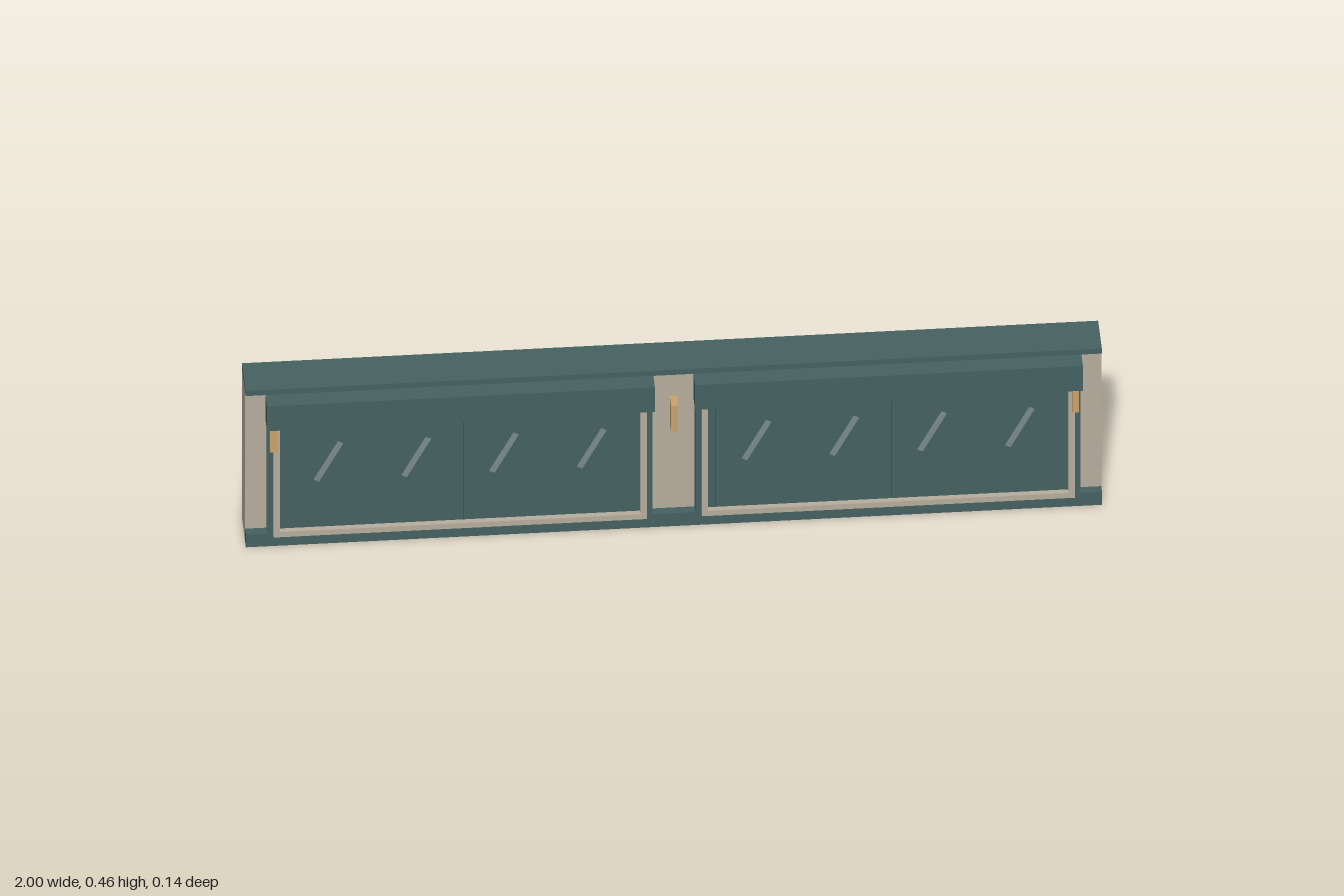
import * as THREE from 'three';

export function createModel() {
  const model = new THREE.Group();
  model.name = 'shopfront';

  const mat = (name, color) => {
    const m = new THREE.MeshStandardMaterial({ color });
    m.name = name;
    return m;
  };
  const stone = mat('warm stone', 0xb8ae9f);
  const teal = mat('dark teal', 0x466262);
  const brass = mat('brass', 0xc9a36b);
  const glint = mat('glass glint', 0x7b8b8a);

  // Box given by its extents on each axis
  const box = (parent, name, material, [x0, x1], [y0, y1], [z0, z1]) => {
    const mesh = new THREE.Mesh(new THREE.BoxGeometry(x1 - x0, y1 - y0, z1 - z0), material);
    mesh.position.set((x0 + x1) / 2, (y0 + y1) / 2, (z0 + z1) / 2);
    mesh.name = name;
    parent.add(mesh);
    return mesh;
  };

  // Wall, cornice and plinth
  box(model, 'wall', stone, [-1, 1], [0, 0.44], [-0.071, 0.02]);
  box(model, 'cornice', teal, [-1, 1], [0.44, 0.455], [-0.071, 0.035]);
  box(model, 'plinth', teal, [-1, 1], [0, 0.038], [0.02, 0.042]);

  // Two identical shop windows
  for (const side of [-1, 1]) {
    const bay = new THREE.Group();
    bay.name = side < 0 ? 'rightBay' : 'leftBay';
    bay.position.x = side * 0.5;
    model.add(bay);

    box(bay, 'windowBacking', teal, [-0.45, 0.45], [0.036, 0.36], [0.02, 0.04]);
    box(bay, 'fascia', teal, [-0.453, 0.453], [0.362, 0.435], [0.027, 0.072]);

    // Pale frame around the glazing
    box(bay, 'frameSill', stone, [-0.436, 0.436], [0.034, 0.049], [0.04, 0.054]);
    box(bay, 'frameHead', stone, [-0.436, 0.436], [0.35, 0.362], [0.04, 0.054]);
    for (const s of [-1, 1]) {
      const post = box(bay, 'framePost', stone, [-0.0075, 0.0075], [0.049, 0.35], [0.04, 0.054]);
      post.position.x = s * 0.4285;
    }

    // Four panes, each with a slanted glint
    for (let i = 0; i < 4; i++) {
      const x = (i - 1.5) * 0.205;
      box(bay, 'pane', teal, [x - 0.095, x + 0.095], [0.055, 0.345], [0.04, 0.046]);
      const streak = box(bay, 'paneGlint', glint, [x - 0.007, x + 0.007], [0.184, 0.306], [0.046, 0.048]);
      streak.rotation.z = -0.48;
    }
  }

  // Wall lamps at the centre and both ends
  for (const x of [-0.937, 0, 0.937]) {
    box(model, 'lamp', brass, [x - 0.008, x + 0.008], [0.29, 0.368], [0.02, 0.061]);
  }

  return model;
}
